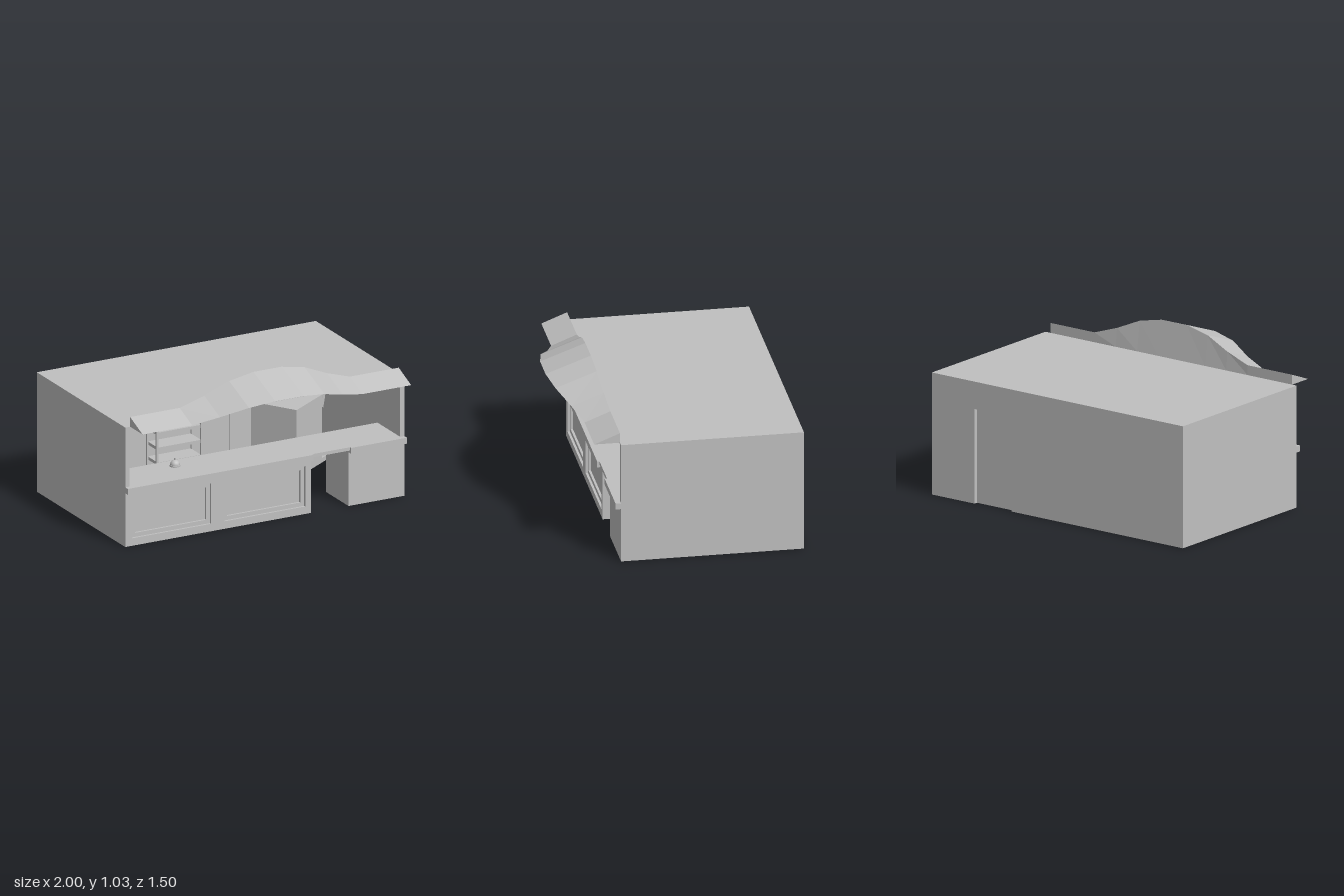
import * as THREE from 'three';

export function createModel() {
  const grey = new THREE.MeshStandardMaterial({ color: 0xc0c0c0 });
  grey.name = 'plainGrey';
  const model = new THREE.Group();
  model.name = 'shopStall';

  const add = (name, geometry, parent = model) => {
    const mesh = new THREE.Mesh(geometry, grey);
    mesh.name = name;
    parent.add(mesh);
    return mesh;
  };
  // box given by its limits on each axis
  const box = (name, x0, x1, y0, y1, z0, z1, parent) => {
    const m = add(name, new THREE.BoxGeometry(x1 - x0, y1 - y0, z1 - z0), parent);
    m.position.set((x0 + x1) / 2, (y0 + y1) / 2, (z0 + z1) / 2);
    return m;
  };
  const rect = (path, x0, x1, y0, y1) =>
    path.moveTo(x0, y0).lineTo(x1, y0).lineTo(x1, y1).lineTo(x0, y1).closePath();
  // upright plate with rectangular holes
  const plate = (name, outer, holes, z, depth) => {
    const shape = rect(new THREE.Shape(), ...outer);
    holes.forEach(h => shape.holes.push(rect(new THREE.Path(), ...h)));
    const m = add(name, new THREE.ExtrudeGeometry(shape, { depth, bevelEnabled: false }));
    m.position.z = z;
  };

  // shell without a floor
  box('leftWall', 0.97, 1, 0, 0.79, -0.75, 0.42);
  box('rightWall', -1, -0.97, 0, 0.79, -0.75, 0.42);
  box('roof', -1, 1, 0.79, 0.8, -0.75, 0.42);

  // back wall with a doorway and a recessed door
  const back = new THREE.Shape();
  [[-0.97, 0], [0.365, 0], [0.365, 0.62], [0.66, 0.62], [0.66, 0], [0.97, 0], [0.97, 0.79], [-0.97, 0.79]]
    .forEach(([x, y], i) => (i ? back.lineTo(x, y) : back.moveTo(x, y)));
  add('backWall', new THREE.ExtrudeGeometry(back, { depth: 0.03, bevelEnabled: false })).position.z = -0.75;
  box('backDoor', 0.365, 0.66, 0, 0.62, -0.725, -0.715);

  // counter with stepped recessed panels
  const panels = [[-0.95, -0.385], [-0.29, 0.29]];
  const inset = d => panels.map(([a, b]) => [a + d, b - d, 0.05 + d, 0.32 - d]);
  box('counterBody', -1, 0.33, 0, 0.36, 0.12, 0.39);
  plate('counterPanelStep', [-1, 0.33, 0, 0.36], inset(0.027), 0.39, 0.015);
  plate('counterFront', [-1, 0.33, 0, 0.36], inset(0), 0.405, 0.015);
  box('sideCounter', 0.6, 1, 0, 0.36, 0.12, 0.42);
  box('counterTop', -1, 0.33, 0.36, 0.4, 0.12, 0.455);
  box('sideCounterTop', 0.6, 1, 0.36, 0.4, 0.12, 0.455);
  box('counterFlap', 0.33, 0.6, 0.378, 0.4, 0.12, 0.44);

  // awning: triangular section that swells toward the middle
  const stations = [[-0.965, 0], [-0.61, 0], [-0.44, 0.34], [-0.27, 0.79], [-0.1, 1],
    [0.1, 1], [0.27, 0.79], [0.44, 0.34], [0.61, 0], [0.96, 0]];
  const section = ([x, t]) => [
    [x, 0.8, 0.42],
    [x, 0.865 + 0.165 * t, 0.42 + 0.035 * t],
    [x, 0.8 + 0.125 * t, 0.585 + 0.16 * t],
  ];
  const pos = [];
  const tri = (a, b, c) => pos.push(...a, ...b, ...c);
  for (let i = 0; i < stations.length - 1; i++) {
    const p = section(stations[i]), q = section(stations[i + 1]);
    for (let k = 0; k < 3; k++) {
      const n = (k + 1) % 3;
      tri(p[k], p[n], q[n]);
      tri(p[k], q[n], q[k]);
    }
  }
  const [e0, e1, e2] = section(stations[0]);
  const [f0, f1, f2] = section(stations[stations.length - 1]);
  tri(e0, e2, e1);
  tri(f0, f1, f2);
  const awning = new THREE.BufferGeometry();
  awning.setAttribute('position', new THREE.Float32BufferAttribute(pos, 3));
  awning.computeVertexNormals();
  add('awning', awning);

  // two shelf units against the back wall
  for (const x of [-0.905, -0.235]) {
    const unit = new THREE.Group();
    unit.name = 'shelfUnit';
    model.add(unit);
    for (const px of [x, x + 0.318])
      for (const z of [-0.715, -0.59]) box('shelfPost', px, px + 0.013, 0, 0.67, z, z + 0.013, unit);
    for (let i = 0; i < 6; i++) {
      const y = 0.1 + i * 0.1;
      box('shelf', x + 0.01, x + 0.32, y - 0.005, y + 0.015, -0.715, -0.58, unit);
    }
  }
  box('lowerShelfBox', -0.86, -0.64, 0.415, 0.49, -0.69, -0.6);
  box('upperShelfBox', -0.19, 0.03, 0.515, 0.59, -0.69, -0.6);

  // trolley turned at an angle behind the flap
  const trolley = new THREE.Group();
  trolley.name = 'trolley';
  trolley.position.set(0.61, 0, -0.42);
  trolley.rotation.y = 0.57;
  model.add(trolley);
  box('trolleyBase', -0.18, 0.3, 0, 0.03, -0.165, 0.165, trolley);
  box('trolleyBody', -0.165, 0.165, 0.03, 0.455, -0.165, 0.165, trolley);
  for (const z of [-0.135, 0.135]) {
    const bar = add('trolleyBar', new THREE.BoxGeometry(0.035, 0.26, 0.025), trolley);
    bar.position.set(0.24, 0.48, z);
    bar.rotation.z = -0.33;
  }

  // service bell
  const bell = new THREE.Group();
  bell.name = 'serviceBell';
  bell.position.set(-0.535, 0.4, 0.22);
  model.add(bell);
  add('bellBase', new THREE.CylinderGeometry(0.036, 0.036, 0.01, 16), bell).position.y = 0.005;
  add('bellDome', new THREE.SphereGeometry(0.031, 16, 8, 0, Math.PI * 2, 0, Math.PI / 2), bell).position.y = 0.01;
  add('bellButton', new THREE.CylinderGeometry(0.006, 0.006, 0.016, 8), bell).position.y = 0.047;

  return model;
}
